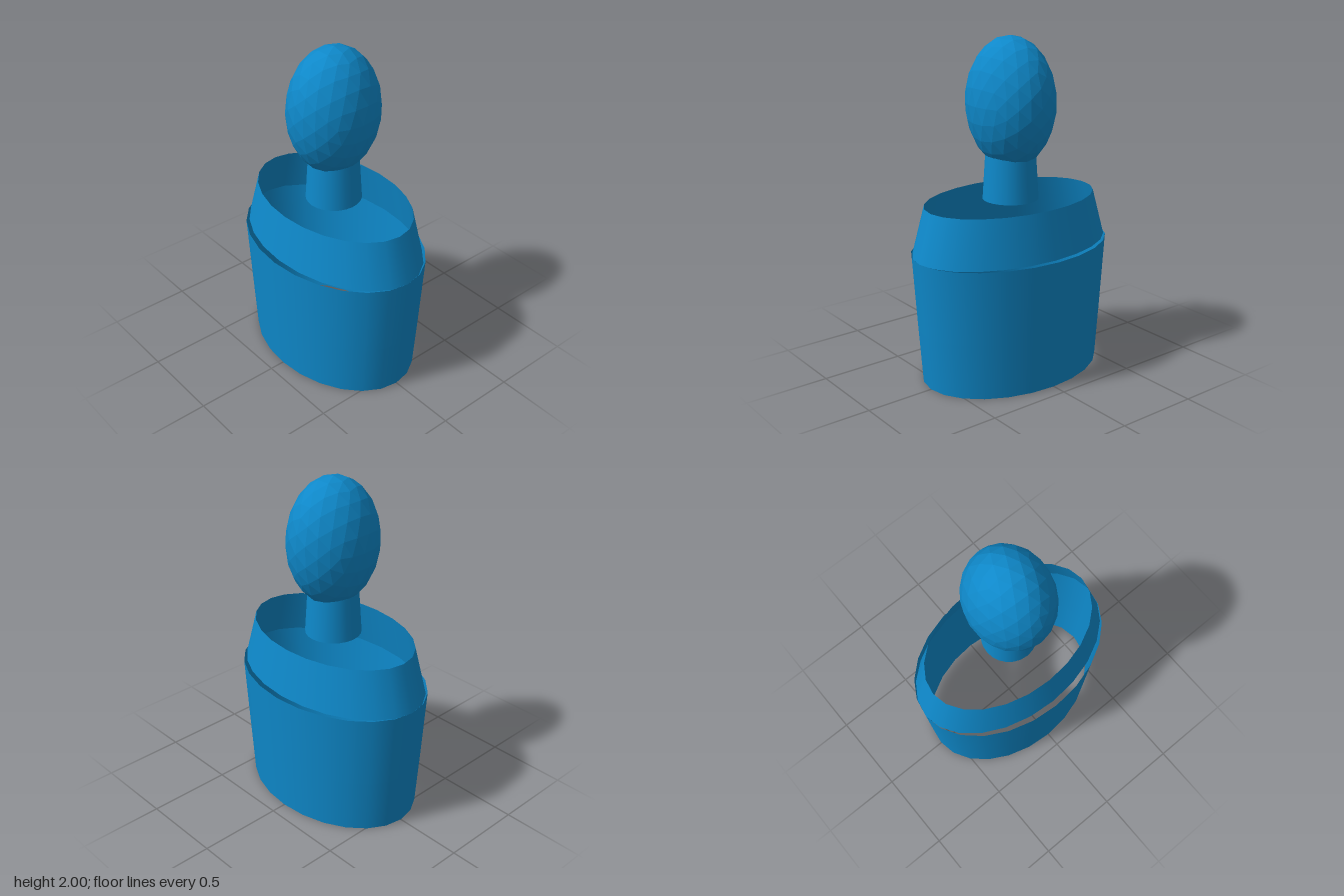
import * as THREE from 'three';

const material = new THREE.MeshStandardMaterial({ color: 0x0e88c9, side: THREE.DoubleSide });
const headMaterial = new THREE.MeshStandardMaterial({ color: 0x0e88c9, flatShading: true });

// Open tapered tube with an elliptical section; each end is [y, radiusX, radiusZ].
function taperedTube(name, [y0, x0, z0], [y1, x1, z1]) {
  const geometry = new THREE.CylinderGeometry(1, 1, 1, 24, 1, true);
  const p = geometry.attributes.position;
  for (let i = 0; i < p.count; i++) {
    const top = p.getY(i) > 0;
    p.setXYZ(i, p.getX(i) * (top ? x1 : x0), top ? y1 : y0, p.getZ(i) * (top ? z1 : z0));
  }
  // Smooth normals taken from the slope of the elliptical cone
  const n = geometry.attributes.normal;
  const v = new THREE.Vector3();
  for (let i = 0; i < n.count; i++) {
    const c = n.getX(i), s = n.getZ(i);
    const rx = (x0 + x1) / 2, rz = (z0 + z1) / 2;
    const slope = -((x1 - x0) * c * c * rz + (z1 - z0) * s * s * rx) / (y1 - y0);
    v.set(c * rz, slope, s * rx).normalize();
    n.setXYZ(i, v.x, v.y, v.z);
  }
  const mesh = new THREE.Mesh(geometry, material);
  mesh.name = name;
  return mesh;
}

export function createModel() {
  const model = new THREE.Group();
  model.name = 'bust';

  // Hollow torso sections, open at both ends
  model.add(
    taperedTube('abdomen', [0, 0.585, 0.41], [0.335, 0.61, 0.425]),
    taperedTube('chest', [0.335, 0.61, 0.425], [0.78, 0.64, 0.445]),
    taperedTube('shoulders', [0.78, 0.64, 0.412], [1.06, 0.56, 0.36]),
    taperedTube('neck', [1.055, 0.165, 0.165], [1.32, 0.148, 0.148]),
  );

  // Faceted egg-shaped head
  const head = new THREE.Mesh(new THREE.IcosahedronGeometry(1, 3), headMaterial);
  head.name = 'head';
  head.scale.set(0.248, 0.38, 0.283);
  head.position.y = 1.62;
  model.add(head);

  return model;
}
